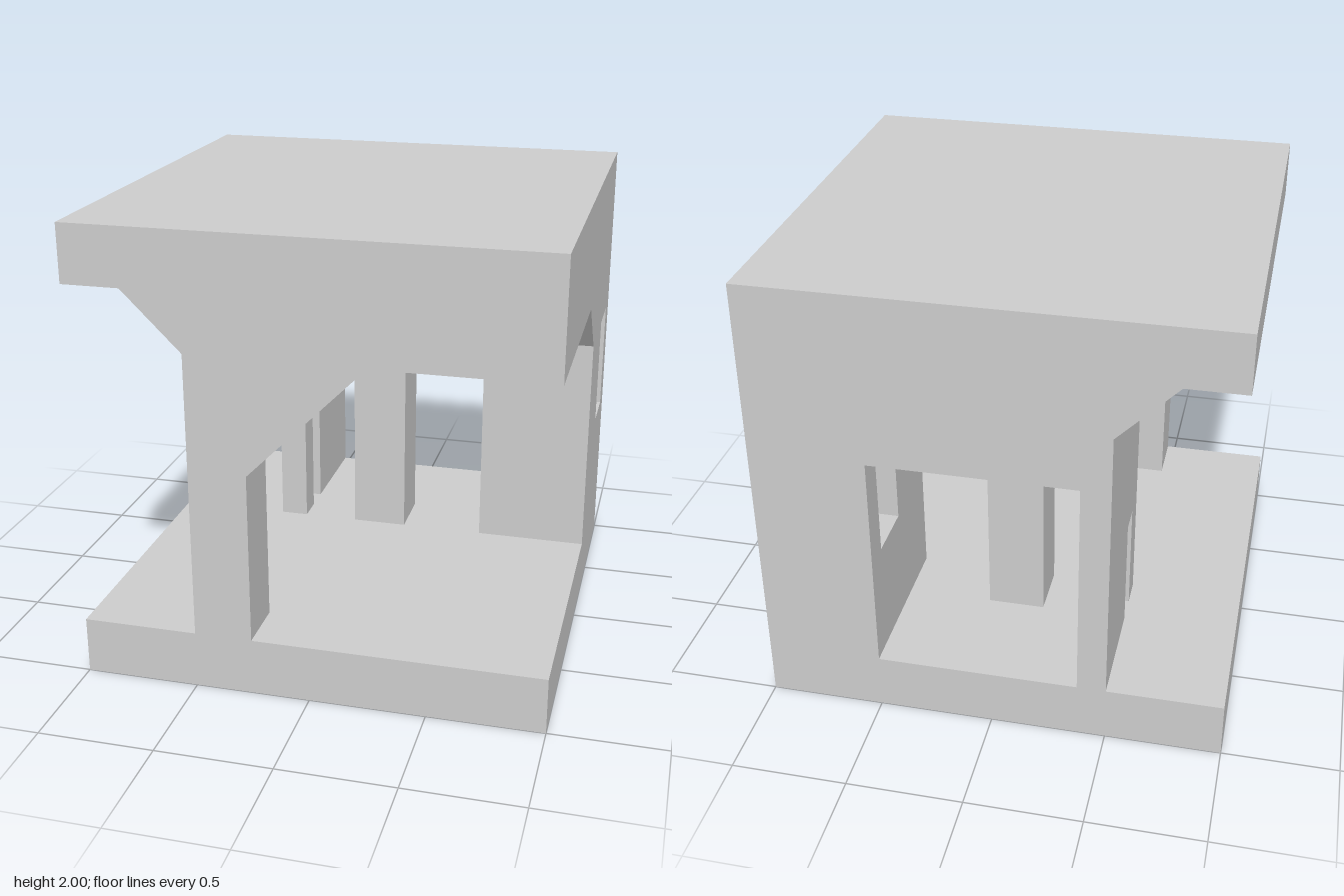
import * as THREE from 'three';

const material = new THREE.MeshStandardMaterial({ color: 0xcccccc, flatShading: true });

export function createModel() {
  const group = new THREE.Group();

  function add(name, geometry) {
    const mesh = new THREE.Mesh(geometry, material);
    mesh.name = name;
    group.add(mesh);
    return mesh;
  }

  function extrude(points, depth) {
    const shape = new THREE.Shape(points.map(([a, b]) => new THREE.Vector2(a, b)));
    return new THREE.ExtrudeGeometry(shape, { depth, bevelEnabled: false });
  }

  // Profile in (x, y), running from z0 to z1
  function alongZ(name, points, z0, z1) {
    return add(name, extrude(points, z1 - z0).translate(0, 0, z0));
  }

  // Profile in (z, y), running from x0 to x1
  function alongX(name, points, x0, x1) {
    const geometry = extrude(points.map(([z, y]) => [-z, y]), x1 - x0);
    return add(name, geometry.rotateY(Math.PI / 2).translate(x0, 0, 0));
  }

  // Floor slab
  add('floor', new THREE.BoxGeometry(2, 0.25, 2).translate(0, 0.125, 0));

  // Roof, thinner and chamfered along one side overhang
  alongZ('roof', [[-1, 1.75], [-0.75, 1.75], [-0.5, 1.5], [1, 1.5], [1, 2], [-1, 2]], -1, 1);

  // Lower ceiling over the back room, with a sloped front edge
  alongX('backCeiling', [[-1, 1.25], [-0.25, 1.25], [0, 1.5], [-1, 1.5]], -0.5, 1);

  // Front column with its diagonal brace
  alongZ('frontColumn', [[-0.5, 0.25], [-0.25, 0.25], [-0.25, 1], [0.25, 1.5], [-0.5, 1.5]], 0.75, 1);

  // Thick wall with a window that reaches the ceiling
  alongX('windowWall', [
    [-1, 0.25], [-0.25, 0.25], [-0.25, 1.25], [-0.625, 1.25],
    [-0.625, 0.75], [-0.875, 0.75], [-0.875, 1.25], [-1, 1.25],
  ], 0.5, 1);

  // Thin wall with a low slot at the floor
  alongX('slotWall', [
    [-1, 0.25], [-0.5, 0.25], [-0.5, 0.75], [-0.375, 0.75],
    [-0.375, 0.25], [-0.25, 0.25], [-0.25, 1.25], [-1, 1.25],
  ], -0.5, -0.375);

  // Free-standing pillar at the mouth of the back room
  add('pillar', new THREE.BoxGeometry(0.25, 1, 0.25).translate(0, 0.75, -0.375));

  return group;
}
